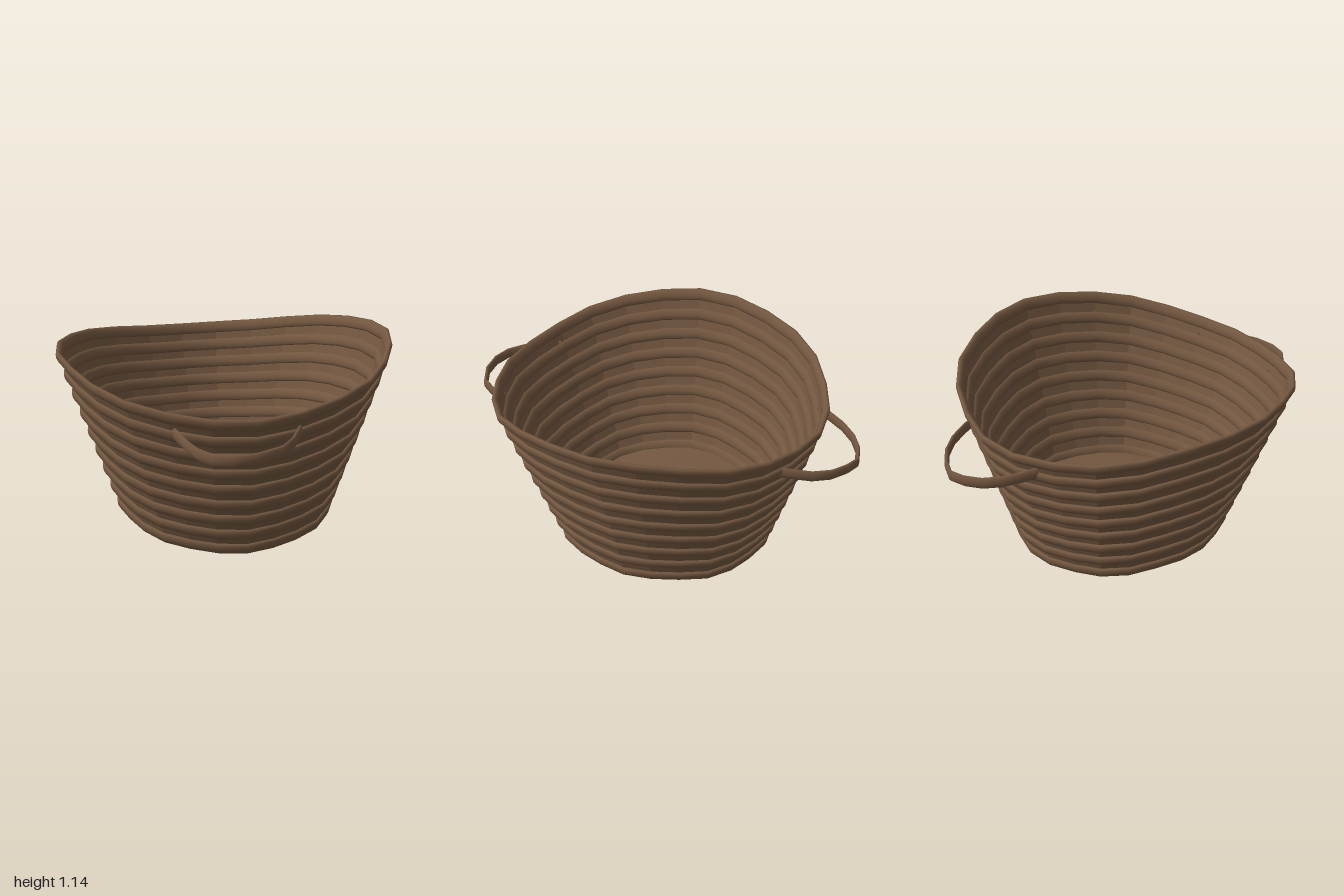
import * as THREE from 'three';
import { ParametricGeometry } from 'three/addons/geometries/ParametricGeometry.js';

const SIDES = 25, COILS = 9;
const wicker = new THREE.MeshStandardMaterial({ color: 0x735740, side: THREE.DoubleSide });
wicker.name = 'brown wicker';

// Point on the basket wall: h runs 0 (base coil) to 1 (rim), saddle-shaped all round
function wallPoint(angle, h, out, up, target) {
  const c = Math.cos(angle), s = Math.sin(angle);
  const r = 0.655 + 0.315 * h + out + 0.008 * Math.cos(8 * angle);
  const saddle = -(0.03 + 0.055 * h) * Math.sin(2 * angle);
  const tilt = 0.014 * h * (c - s);
  return target.set(
    r * c - 0.02 * (1 - h),
    0.065 + 0.94 * h + saddle + tilt + up,
    r * s - 0.04 * (1 - h)
  );
}

// One rounded coil, an upright oval in section
function coil(h) {
  return new ParametricGeometry((u, v, t) => {
    const a = v * Math.PI * 2;
    const out = 0.02 * Math.cos(a), up = 0.036 * Math.sin(a);
    wallPoint(u * Math.PI * 2, h, out + up * 0.3, up, t);
  }, SIDES, 10);
}

// Recessed, faceted strip between two coils
function strip(h0, h1) {
  const g = new ParametricGeometry((u, v, t) => {
    wallPoint(u * Math.PI * 2, h0 + (h1 - h0) * v, -0.004, 0, t);
  }, SIDES, 1).toNonIndexed();
  g.computeVertexNormals();
  return g;
}

// Gently warped floor
function floor() {
  const rim = new THREE.Vector3();
  const g = new ParametricGeometry((u, v, t) => {
    wallPoint(u * Math.PI * 2, 0, 0, -0.01, rim);
    t.set(
      -0.02 + (rim.x + 0.02) * v,
      0.055 + (rim.y - 0.055) * v * v,
      -0.04 + (rim.z + 0.04) * v
    );
  }, SIDES, 6);
  g.computeVertexNormals();
  return g;
}

// Strap handle swept along a low loop
function handle(points) {
  const curve = new THREE.CatmullRomCurve3(points.map(p => new THREE.Vector3(...p)));
  const p = new THREE.Vector3(), d = new THREE.Vector3();
  return new ParametricGeometry((u, v, t) => {
    curve.getPoint(u, p);
    curve.getTangent(u, d);
    const a = v * Math.PI * 2, len = Math.hypot(d.x, d.z);
    const side = 0.013 * Math.cos(a);
    t.set(p.x + d.z / len * side, p.y + 0.035 * Math.sin(a), p.z - d.x / len * side);
  }, 10, 8);
}

export function createModel() {
  const basket = new THREE.Group();
  basket.name = 'basket';
  const add = (geometry, name) => {
    const mesh = new THREE.Mesh(geometry, wicker);
    mesh.name = name;
    basket.add(mesh);
  };

  // Wall
  for (let i = 0; i < COILS; i++) {
    const h = i / (COILS - 1);
    add(coil(h), i === COILS - 1 ? 'rim' : 'coil');
    if (i < COILS - 1) add(strip(h, (i + 1) / (COILS - 1)), 'wallStrip');
  }
  add(floor(), 'floor');

  // Handles on the two low corners
  add(handle([
    [0.31, 0.85, 0.87], [0.42, 0.84, 0.93], [0.53, 0.82, 0.97], [0.66, 0.81, 0.97],
    [0.79, 0.81, 0.87], [0.875, 0.82, 0.67], [0.85, 0.84, 0.52], [0.82, 0.85, 0.44]
  ]), 'frontHandle');
  add(handle([
    [-0.31, 0.85, -0.87], [-0.4, 0.84, -0.92], [-0.53, 0.82, -0.97], [-0.68, 0.81, -0.96],
    [-0.79, 0.8, -0.92], [-0.86, 0.81, -0.81], [-0.885, 0.82, -0.68], [-0.86, 0.84, -0.54],
    [-0.82, 0.85, -0.44]
  ]), 'backHandle');
  return basket;
}
